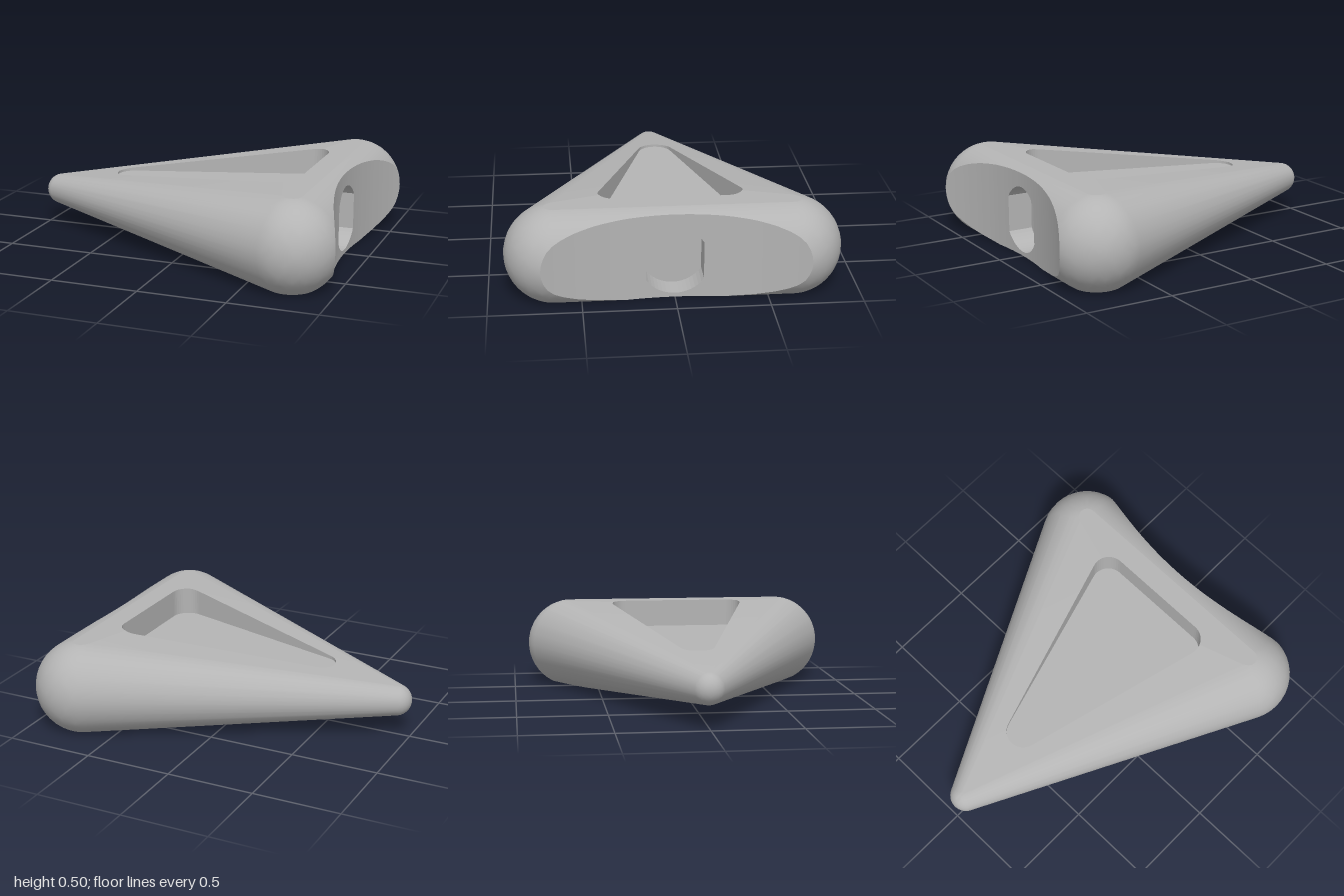
import * as THREE from 'three';
import { ConvexGeometry } from 'three/addons/geometries/ConvexGeometry.js';
import { toCreasedNormals } from 'three/addons/utils/BufferGeometryUtils.js';

// A polygon is a list of vertices [x, y, z, nx, ny, nz]; a plane is [a, b, c, d].
const EPS = 1e-6;
const dist = (v, p) => v[0] * p[0] + v[1] * p[1] + v[2] * p[2] - p[3];

// Split a polygon into the parts behind and in front of a plane
function split(poly, plane) {
  const behind = [], front = [];
  poly.forEach((a, i) => {
    const b = poly[(i + 1) % poly.length];
    const da = dist(a, plane), db = dist(b, plane);
    if (da <= EPS) behind.push(a);
    if (da >= -EPS) front.push(a);
    if ((da > EPS && db < -EPS) || (da < -EPS && db > EPS)) {
      const t = da / (da - db);
      const c = a.map((v, k) => v + (b[k] - v) * t);
      behind.push(c);
      front.push(c);
    }
  });
  return [
    behind.some((v) => dist(v, plane) < -EPS) ? behind : null,
    front.some((v) => dist(v, plane) > EPS) ? front : null,
  ];
}

// Move a polygon flat onto one axis value, with the given normal
const flatten = (poly, axis, value, normal) => poly.map((v) => {
  const p = v.slice(0, 3);
  p[axis] = value;
  return [...p, ...normal];
});

// Cut a convex prism out of a surface; walls run along the axis to the depth value
function carve(polys, planes, axis, depth, normal) {
  const outside = [], walls = [], floor = [];
  for (const poly of polys) {
    let rest = poly;
    for (const plane of planes) {
      const [inner, outer] = split(rest, plane);
      if (outer) outside.push(outer);
      rest = inner;
      if (!rest) break;
    }
    if (!rest) continue;
    floor.push(flatten(rest, axis, depth, normal));
    rest.forEach((a, i) => {
      const b = rest[(i + 1) % rest.length];
      const plane = planes.find((p) => Math.abs(dist(a, p)) < 5e-6 && Math.abs(dist(b, p)) < 5e-6);
      if (!plane) return;
      const n = plane.slice(0, 3).map((v) => -v);
      const quad = [a, b, b, a].map((v) => [...v.slice(0, 3), ...n]);
      quad[2][axis] = quad[3][axis] = depth;
      walls.push(quad);
    });
  }
  return { outside, walls, floor };
}

// Outward planes around a convex outline of [u, v] points, standing on axes iu and iv
function prism(points, iu, iv) {
  const cu = points.reduce((s, p) => s + p[0], 0) / points.length;
  const cv = points.reduce((s, p) => s + p[1], 0) / points.length;
  return points.map((p, i) => {
    const q = points[(i + 1) % points.length];
    let nu = q[1] - p[1], nv = p[0] - q[0];
    const len = Math.hypot(nu, nv);
    const sign = nu * (p[0] - cu) + nv * (p[1] - cv) < 0 ? -1 : 1;
    nu *= sign / len;
    nv *= sign / len;
    const plane = [0, 0, 0, nu * p[0] + nv * p[1]];
    plane[iu] = nu;
    plane[iv] = nv;
    return plane;
  });
}

function arc(cu, cv, r, from, to, steps) {
  return Array.from({ length: steps + 1 }, (_, i) => {
    const a = from + ((to - from) * i) / steps;
    return [cu + r * Math.cos(a), cv + r * Math.sin(a)];
  });
}

function toMesh(name, polys, material) {
  const pos = [], nor = [];
  for (const poly of polys) {
    for (let i = 1; i < poly.length - 1; i++) {
      for (const v of [poly[0], poly[i], poly[i + 1]]) {
        pos.push(v[0], v[1], v[2]);
        nor.push(v[3], v[4], v[5]);
      }
    }
  }
  const geo = new THREE.BufferGeometry();
  geo.setAttribute('position', new THREE.Float32BufferAttribute(pos, 3));
  geo.setAttribute('normal', new THREE.Float32BufferAttribute(nor, 3));
  geo.normalizeNormals();
  const mesh = new THREE.Mesh(geo, material);
  mesh.name = name;
  return mesh;
}

// Rounded wedge: hull around three balls, with a slight crown along the middle
function wedgePolys() {
  const points = [
    new THREE.Vector3(0.5, 0.503, 0),
    new THREE.Vector3(0.3, -0.04, 0),
  ];
  for (const [x, y, z, r] of [[-0.91, 0.21, 0, 0.09], [0.74, 0.235, 0.64, 0.27], [0.74, 0.235, -0.64, 0.27]]) {
    const ball = new THREE.SphereGeometry(r, 40, 24).attributes.position;
    for (let i = 0; i < ball.count; i++) {
      points.push(new THREE.Vector3().fromBufferAttribute(ball, i).add(new THREE.Vector3(x, y, z)));
    }
  }
  const geo = toCreasedNormals(new ConvexGeometry(points), 0.5);
  const p = geo.attributes.position, n = geo.attributes.normal;
  let polys = [];
  for (let i = 0; i < p.count; i += 3) {
    polys.push([i, i + 1, i + 2].map((k) => [p.getX(k), p.getY(k), p.getZ(k), n.getX(k), n.getY(k), n.getZ(k)]));
  }
  // Level the underside and the top
  for (const [s, level] of [[-1, 0], [1, 0.5]]) {
    polys = polys.flatMap((poly) => {
      const [keep, over] = split(poly, [0, s, 0, s * level]);
      return [keep, over && flatten(over, 1, level, [0, s, 0])].filter(Boolean);
    });
  }
  return polys;
}

export function createModel() {
  const grey = new THREE.MeshStandardMaterial({ color: 0xb4b4b4 });
  grey.name = 'grey';
  const group = new THREE.Group();
  group.name = 'wedge';

  // Concave rear face
  const rear = carve(wedgePolys(), prism(arc(2.715, 0, 1.86, Math.PI - 0.5, Math.PI + 0.5, 48), 0, 2), 1, 0.235, [0, 1, 0]);

  // Triangular pocket in the top
  const lean = Math.atan2(0.3, 1.01), half = Math.PI / 2;
  const outline = [
    ...arc(0.567, 0.297, 0.098, 0, half + lean, 12),
    ...arc(-0.437, 0, 0.098, half + lean, 3 * half - lean, 16),
    ...arc(0.567, -0.297, 0.098, -half - lean, 0, 12),
  ];
  const isTop = (poly) => poly.every((v) => v[1] > 0.25);
  const pocket = carve(rear.outside.filter(isTop), prism(outline, 0, 2), 1, 0.34, [0, 1, 0]);

  // Upright slot in the rear face: a circle with flattened sides
  const a = Math.acos(0.155 / 0.187);
  const slotOutline = [
    ...arc(0, 0.21, 0.187, a, Math.PI - a, 16),
    ...arc(0, 0.21, 0.187, Math.PI + a, 2 * Math.PI - a, 16),
  ];
  const slot = carve(rear.walls, prism(slotOutline, 2, 1), 0, 0.72, [1, 0, 0]);

  group.add(
    toMesh('body', [...rear.outside.filter((p) => !isTop(p)), ...pocket.outside], grey),
    toMesh('topPocketWalls', pocket.walls, grey),
    toMesh('topPocketFloor', pocket.floor, grey),
    toMesh('rearFace', slot.outside, grey),
    toMesh('rearSlotWalls', slot.walls, grey),
    toMesh('rearSlotEnd', slot.floor, grey),
  );
  return group;
}
